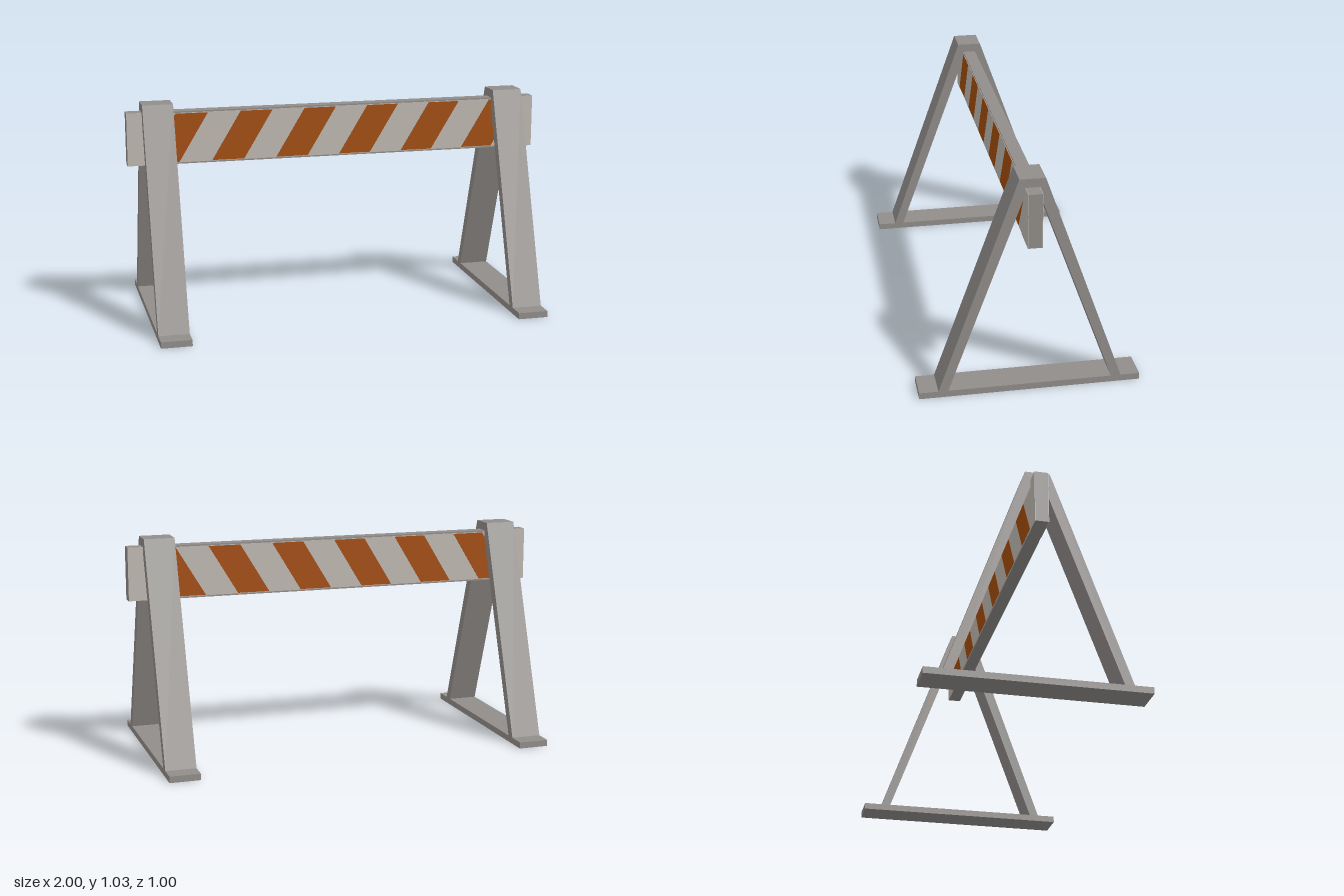
import * as THREE from 'three';

const material = (name, color) => {
  const m = new THREE.MeshStandardMaterial({ color });
  m.name = name;
  return m;
};

export function createModel() {
  const grey = material('weathered grey', 0x918d8a);
  const light = material('pale grey', 0xbfb8b2);
  const orange = material('burnt orange', 0xa34d0b);
  const model = new THREE.Group();
  model.name = 'barricade';

  const add = (name, geometry, mat, parent, x = 0, y = 0, z = 0) => {
    const mesh = new THREE.Mesh(geometry, mat);
    mesh.name = name;
    mesh.position.set(x, y, z);
    parent.add(mesh);
    return mesh;
  };
  const polygon = (points) => new THREE.Shape(points.map(([x, y]) => new THREE.Vector2(x, y)));
  const extrude = (shape, depth) => new THREE.ExtrudeGeometry(shape, { depth, bevelEnabled: false });

  // A-shaped leg pair: tapered sides, flat top, and a notch holding the board
  const legShape = polygon([
    [0.37, 0.03], [0.414, 0.03], [0.057, 1.032], [-0.057, 1.032], [-0.414, 0.03], [-0.37, 0.03],
    [-0.033, 0.955], [-0.033, 0.99], [0.033, 0.99], [0.033, 0.955],
  ]);
  const width = 0.144;
  const legGeometry = extrude(legShape, width).translate(0, 0, -width / 2).rotateY(Math.PI / 2);
  const footGeometry = new THREE.BoxGeometry(width, 0.03, 1);
  for (const side of [-1, 1]) {
    const trestle = new THREE.Group();
    trestle.name = side > 0 ? 'leftTrestle' : 'rightTrestle';
    trestle.position.x = side * 0.856;
    add('legs', legGeometry, grey, trestle);
    add('foot', footGeometry, grey, trestle, 0, 0.015, 0);
    model.add(trestle);
  }

  // Crossboard
  const board = new THREE.Group();
  board.name = 'crossboard';
  model.add(board);
  const midY = 0.867;
  add('boardCore', new THREE.BoxGeometry(2, 0.25, 0.06), grey, board, 0, midY, 0);

  // Pale facing and slanted stripes, on front and back
  const panelGeometry = new THREE.BoxGeometry(1.72, 0.236, 0.002);
  const endGeometry = new THREE.BoxGeometry(0.14, 0.25, 0.002);
  const bottom = 0.752, top = 0.982, slant = 0.139, stripeWidth = 0.153;
  const stripeGeometry = extrude(polygon([
    [0, bottom], [stripeWidth, bottom], [stripeWidth + slant, top], [slant, top],
  ]), 0.0015).translate(0, 0, -0.00075);
  for (const face of [-1, 1]) {
    add('facePanel', panelGeometry, light, board, 0, midY, face * 0.031);
    for (const side of [-1, 1]) {
      add('endPanel', endGeometry, light, board, side * 0.93, midY, face * 0.031);
    }
    for (let i = 0; i < 6; i++) {
      add('stripe', stripeGeometry, orange, board, -0.91 + i * 0.309, 0, face * 0.03275);
    }
  }
  return model;
}
